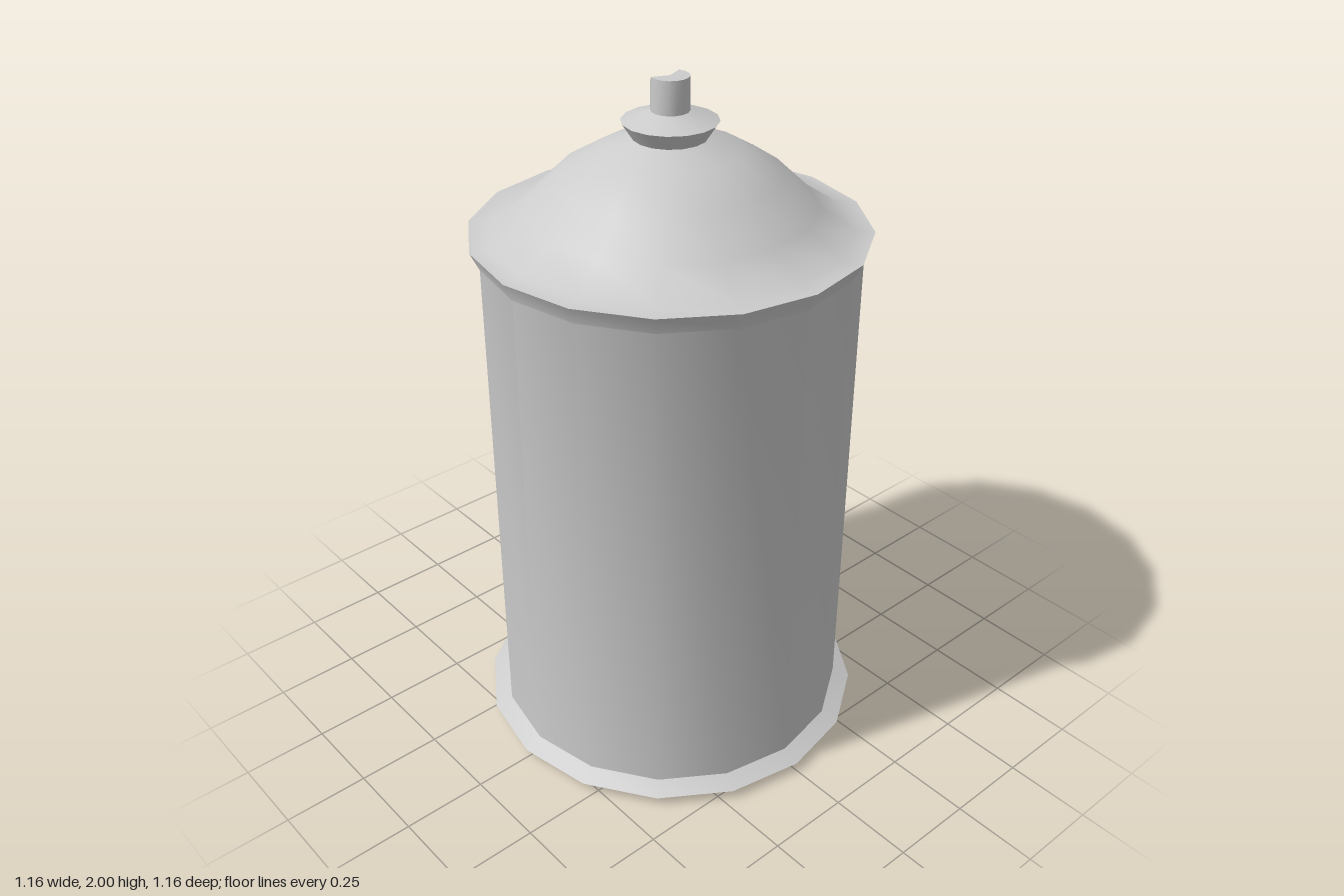
import * as THREE from 'three';
import { toCreasedNormals } from 'three/addons/utils/BufferGeometryUtils.js';

const SIDES = 16;
const CREASE = 0.55; // rounds the 16 sides, keeps profile edges sharp

export function createModel() {
  const group = new THREE.Group();
  const material = new THREE.MeshStandardMaterial({ color: 0xcccccc, side: THREE.DoubleSide });

  function add(name, geometry) {
    const mesh = new THREE.Mesh(toCreasedNormals(geometry, CREASE), material);
    mesh.name = name;
    group.add(mesh);
  }

  // Turned part from [radius, height] pairs, listed bottom to top
  function turned(name, profile) {
    add(name, new THREE.LatheGeometry(profile.map(([r, y]) => new THREE.Vector2(r, y)), SIDES));
  }

  // Closed bottom with a sharp seam ring
  turned('baseRim', [[0, 0], [0.53, 0], [0.578, 0.028], [0.527, 0.052]]);

  // Can wall flaring into the top lip
  turned('body', [[0.527, 0.052], [0.527, 1.53], [0.552, 1.582]]);

  // Lip and domed shoulder
  turned('shoulder', [
    [0.552, 1.582], [0.5, 1.585], [0.4, 1.65], [0.305, 1.74], [0.2, 1.802], [0.1, 1.837],
  ]);

  // Valve collar
  turned('collar', [[0.1, 1.835], [0.131, 1.882], [0.052, 1.908]]);

  // Spray nozzle, its top edge scooped down at the back
  const nozzle = new THREE.CylinderGeometry(0.052, 0.052, 0.1, SIDES, 1);
  nozzle.translate(0, 1.95, 0);
  const p = nozzle.attributes.position;
  for (let i = 0; i < p.count; i++) {
    const z = p.getZ(i);
    if (p.getY(i) > 1.95 && z < -0.02) p.setY(i, 2 + (z + 0.02) * 0.9);
  }
  add('nozzle', nozzle);

  return group;
}
